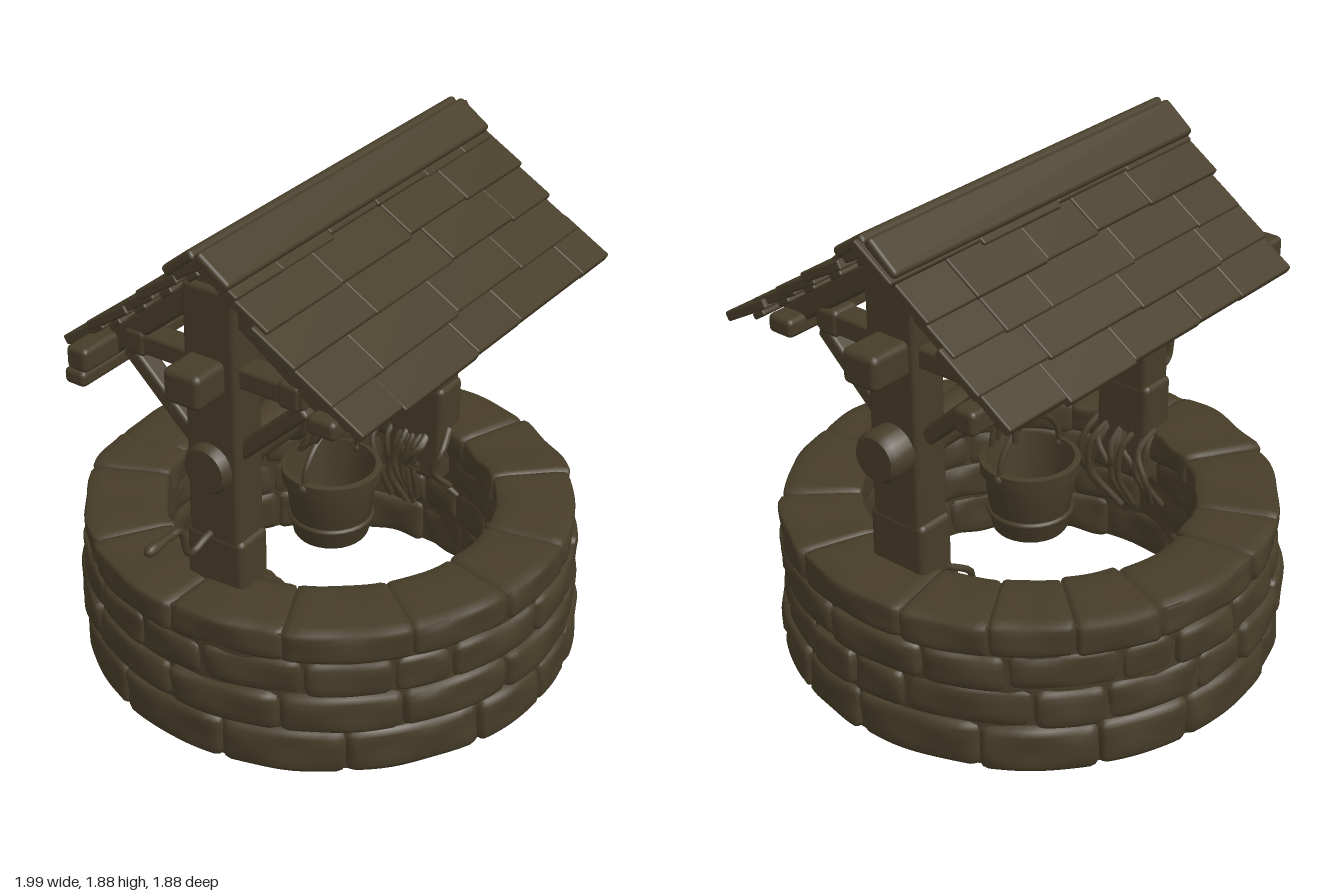
import * as THREE from 'three';
import { mergeVertices, toCreasedNormals } from 'three/addons/utils/BufferGeometryUtils.js';
import { RoundedBoxGeometry } from 'three/addons/geometries/RoundedBoxGeometry.js';

const V = (x, y, z) => new THREE.Vector3(x, y, z);

export function createModel() {
  const model = new THREE.Group();
  model.name = 'wishingWell';
  const weathered = new THREE.MeshStandardMaterial({ color: 0x463c28 });
  weathered.name = 'weathered brown';

  let seed = 7;
  const rand = (a, b) => {
    seed = (seed * 16807) % 2147483647;
    return a + (b - a) * (seed / 2147483647);
  };
  const group = (name) => {
    const g = new THREE.Group();
    g.name = name;
    model.add(g);
    return g;
  };
  const add = (parent, name, geo, x = 0, y = 0, z = 0) => {
    const m = new THREE.Mesh(geo, weathered);
    m.name = name;
    m.position.set(x, y, z);
    parent.add(m);
    return m;
  };
  const beam = (parent, name, w, h, d, x, y, z, r = 0.015) =>
    add(parent, name, new RoundedBoxGeometry(w, h, d, 2, r), x, y, z);
  const strand = (parent, name, pts, r, n = 14) =>
    add(parent, name, new THREE.TubeGeometry(new THREE.CatmullRomCurve3(pts), n, r, 7));

  // A pillowy block, bent around the centre of the well
  function stone(angle, arc, h, inner, outer, round) {
    const R = (inner + outer) / 2, w = arc * R, d = outer - inner;
    let g = new THREE.BoxGeometry(w, h, d, 12, 6, 6);
    g.deleteAttribute('uv');
    g.deleteAttribute('normal');
    g = mergeVertices(g, 1e-4);
    const p = g.attributes.position, v = V(0, 0, 0), q = V(0, 0, 0);
    const hi = V(w / 2 - round, h / 2 - round, d / 2 - round), lo = hi.clone().negate();
    const f1 = rand(0, 6), f2 = rand(0, 6);
    for (let i = 0; i < p.count; i++) {
      v.fromBufferAttribute(p, i);
      q.copy(v).clamp(lo, hi);
      v.sub(q).setLength(round).add(q);
      const wobble = 0.007 * Math.sin(v.x * 22 + f1) * Math.cos(v.y * 30 + f2);
      const a = angle + v.x / R, r = R + v.z + wobble;
      p.setXYZ(i, Math.sin(a) * r, v.y + wobble * 0.5, Math.cos(a) * r);
    }
    g.computeVertexNormals();
    return g;
  }

  // Stone wall: four courses around a hollow core
  const wall = group('stoneWall');
  wall.position.x = 0.055;
  const core = [[0.905, 0.015], [0.9, 0.582], [0.635, 0.582], [0.645, 0.015], [0.905, 0.015]];
  add(wall, 'wallCore', toCreasedNormals(new THREE.LatheGeometry(core.map((c) => new THREE.Vector2(...c)), 64), 0.5));
  const courses = [
    { y0: 0.005, y1: 0.185, n: 14, inner: 0.63, out: 0.932, round: 0.036 },
    { y0: 0.18, y1: 0.335, n: 17, inner: 0.63, out: 0.928, round: 0.04 },
    { y0: 0.33, y1: 0.475, n: 17, inner: 0.625, out: 0.922, round: 0.04 },
    { y0: 0.47, y1: 0.593, n: 14, inner: 0.612, out: 0.918, round: 0.026 },
  ];
  courses.forEach(({ y0, y1, n, inner, out, round }, c) => {
    const sizes = Array.from({ length: n }, () => rand(0.6, 1.4));
    const total = sizes.reduce((a, b) => a + b);
    let a = c * 0.7;
    for (const s of sizes) {
      const arc = (s / total) * Math.PI * 2;
      const geo = stone(a + arc / 2, arc * 1.03, y1 - y0 + 0.008, inner + rand(-0.01, 0.01), out + rand(-0.012, 0.008), round);
      add(wall, 'stone', geo, 0, (y0 + y1) / 2 + rand(-0.004, 0.003), 0);
      a += arc;
    }
  });

  // Two end frames: post, foot, cross beam and diagonal braces
  const frontPitch = 0.605, backPitch = 0.685, ridgeY = 1.845;
  const postXs = [-0.585, 0.685];
  const frame = group('endFrames');
  for (const x of postXs) {
    beam(frame, 'post', 0.15, 1.32, 0.215, x, 1.08, 0.015, 0.02);
    beam(frame, 'postFoot', 0.155, 0.42, 0.245, x, 0.58, 0.015, 0.025);
    beam(frame, 'crossBeam', 0.1, 0.08, 0.8, x, 1.425, -0.02);
    for (const s of [-1, 1]) {
      beam(frame, 'crossBeamBand', 0.115, 0.1, 0.09, x, 1.425, s * 0.32, 0.02);
      const brace = beam(frame, 'brace', 0.08, 0.06, 0.38, x, 1.25, s * 0.23);
      brace.rotation.x = -s * 0.76;
    }
  }

  // Roof: staggered plank rows over rafters and battens
  const roof = group('roof');
  for (const [s, pitch, len] of [[1, frontPitch, 0.765], [-1, backPitch, 0.735]]) {
    const place = (m, d, below, turn = 0) => {
      m.position.y = ridgeY - d * Math.sin(pitch) - below * Math.cos(pitch);
      m.position.z = s * (d * Math.cos(pitch) - below * Math.sin(pitch));
      m.rotation.x = s * (pitch - turn);
    };
    const rows = 5, step = len / rows;
    for (let i = 0; i < rows; i++) {
      let x = -0.695 + rand(-0.015, 0.01);
      const end = 0.875 + rand(-0.015, 0.02);
      while (x < end - 0.01) {
        let w = rand(0.22, 0.5);
        if (end - x - w < 0.15) w = end - x;
        const plank = beam(roof, 'roofPlank', w + 0.002, 0.036, step * 1.34 + rand(-0.01, 0.02), x + w / 2, 0, 0, 0.008);
        place(plank, (i + 0.45) * step + rand(-0.006, 0.006), 0.006 + rand(0, 0.006), 0.09);
        plank.rotation.z = rand(-0.008, 0.008);
        x += w;
      }
      place(beam(roof, 'batten', 1.5, 0.025, 0.06, 0.085, 0, 0, 0.008), (i + 0.55) * step, 0.038);
    }
    for (const x of [...postXs, -0.16, 0.26]) {
      const atPost = postXs.includes(x);
      place(beam(roof, 'rafter', atPost ? 0.1 : 0.06, atPost ? 0.085 : 0.05, 0.66, x, 0, 0), 0.36, 0.085);
    }
    // Ridge cap board
    place(beam(roof, 'ridgeCap', 1.58, 0.04, 0.155, 0.085, 0, 0, 0.015), 0.068, -0.022);
  }

  // Long beams along the roof
  const beams = group('longBeams');
  beam(beams, 'centreBeam', 1.72, 0.13, 0.15, 0.06, 1.42, 0.005, 0.025);
  beam(beams, 'frontPurlin', 1.5, 0.07, 0.11, 0.06, 1.385, 0.48, 0.02);
  beam(beams, 'backPurlin', 1.72, 0.09, 0.09, 0.06, 1.39, -0.44, 0.02);
  beam(beams, 'backLowerBoard', 1.55, 0.06, 0.09, -0.025, 1.315, -0.455, 0.02);

  // Winding axle with thicker ends
  const winch = group('winch');
  const axle = [[0, -0.7], [0.08, -0.7], [0.092, -0.68], [0.092, -0.52], [0.08, -0.48], [0.084, -0.1],
    [0.078, 0.2], [0.084, 0.56], [0.094, 0.62], [0.094, 0.84], [0.08, 0.86], [0, 0.86]];
  const axleGeo = toCreasedNormals(new THREE.LatheGeometry(axle.map((a) => new THREE.Vector2(...a)), 24), 0.8);
  add(winch, 'axle', axleGeo.rotateZ(-Math.PI / 2), 0, 1.062, 0.01);
  for (let x = -0.2; x < 0.32; x += 0.033) {
    const coil = add(winch, 'ropeCoil', new THREE.TorusGeometry(0.077, 0.016, 8, 24), x, 1.058, 0.01);
    coil.rotation.set(0, Math.PI / 2 + rand(-0.1, 0.1), 0);
  }
  // Loose rope ends
  for (const x of [-0.22, 0.32]) {
    add(winch, 'ropeKnot', new THREE.TorusGeometry(0.088, 0.022, 8, 20), x, 1.065, 0.01).rotation.y = 1.45;
    for (let i = 0; i < 8; i++) {
      const s = i % 2 ? 1 : -1, dx = rand(-0.05, 0.05);
      strand(winch, 'looseRope', [V(x, 1.14, 0.01 + s * 0.05), V(x + dx * 0.5, 1.07, 0.01 + s * 0.11),
        V(x + dx, rand(0.99, 1.02), 0.01 + s * rand(0.1, 0.14)), V(x + dx * 1.1, rand(0.9, 0.97), 0.01 + s * rand(0.06, 0.13))], 0.011);
    }
  }

  // Crank and its handle
  strand(winch, 'crankArm', [V(-0.6, 0.79, 0), V(-0.68, 0.785, 0), V(-0.765, 0.765, 0), V(-0.79, 0.79, 0),
    V(-0.805, 0.86, 0), V(-0.83, 0.89, 0), V(-0.88, 0.89, 0)], 0.014, 30);
  const grip = [[0, 0], [0.012, 0], [0.014, 0.06], [0.022, 0.12], [0.02, 0.15], [0.01, 0.163], [0, 0.165]];
  add(winch, 'crankHandle', new THREE.LatheGeometry(grip.map((a) => new THREE.Vector2(...a)), 14).rotateZ(Math.PI / 2), -0.835, 0.892, 0);

  // Hanging bucket
  const bucket = group('bucket');
  bucket.position.set(0.05, 0, 0.01);
  const pail = [[0, 0.42], [0.135, 0.42], [0.142, 0.43], [0.17, 0.655], [0.184, 0.66], [0.187, 0.71], [0.165, 0.715],
    [0.155, 0.66], [0.125, 0.45], [0, 0.45]];
  add(bucket, 'pail', toCreasedNormals(new THREE.LatheGeometry(pail.map((a) => new THREE.Vector2(...a)), 28), 0.6));
  add(bucket, 'pailHoop', new THREE.TorusGeometry(0.151, 0.012, 8, 28), 0, 0.5, 0).rotation.x = Math.PI / 2;
  strand(bucket, 'pailHandle', [V(-0.175, 0.69, 0), V(-0.155, 0.77, 0), V(-0.09, 0.84, 0), V(0, 0.868, 0),
    V(0.09, 0.84, 0), V(0.155, 0.77, 0), V(0.175, 0.69, 0)], 0.012, 30);
  for (const s of [-1, 1]) add(bucket, 'handlePin', new THREE.SphereGeometry(0.022, 12, 8), s * 0.175, 0.69, 0);
  add(bucket, 'ropeKnot', new THREE.SphereGeometry(0.028, 12, 8), 0.005, 0.875, 0);
  strand(bucket, 'rope', [V(0.005, 0.87, 0), V(0.012, 0.93, 0), V(0, 1, 0)], 0.009);

  // Fibres trailing down the inner wall under each post
  const fibres = group('trailingFibres');
  for (const s of [-1, 1]) {
    for (let i = 0; i < 12; i++) {
      const z = rand(-0.13, 0.15), k = rand(0.02, 0.09), low = rand(0.22, 0.42);
      const at = (r, y, dz) => V(0.055 + s * r, y, z + dz);
      strand(fibres, 'fibre', [at(0.61, 0.6, 0), at(0.59 - k, 0.53, rand(-0.03, 0.03)),
        at(0.58 - k, (low + 0.53) / 2, rand(-0.05, 0.05)), at(0.6 - k * 0.4, low, rand(-0.07, 0.07))], 0.013);
    }
  }
  return model;
}
